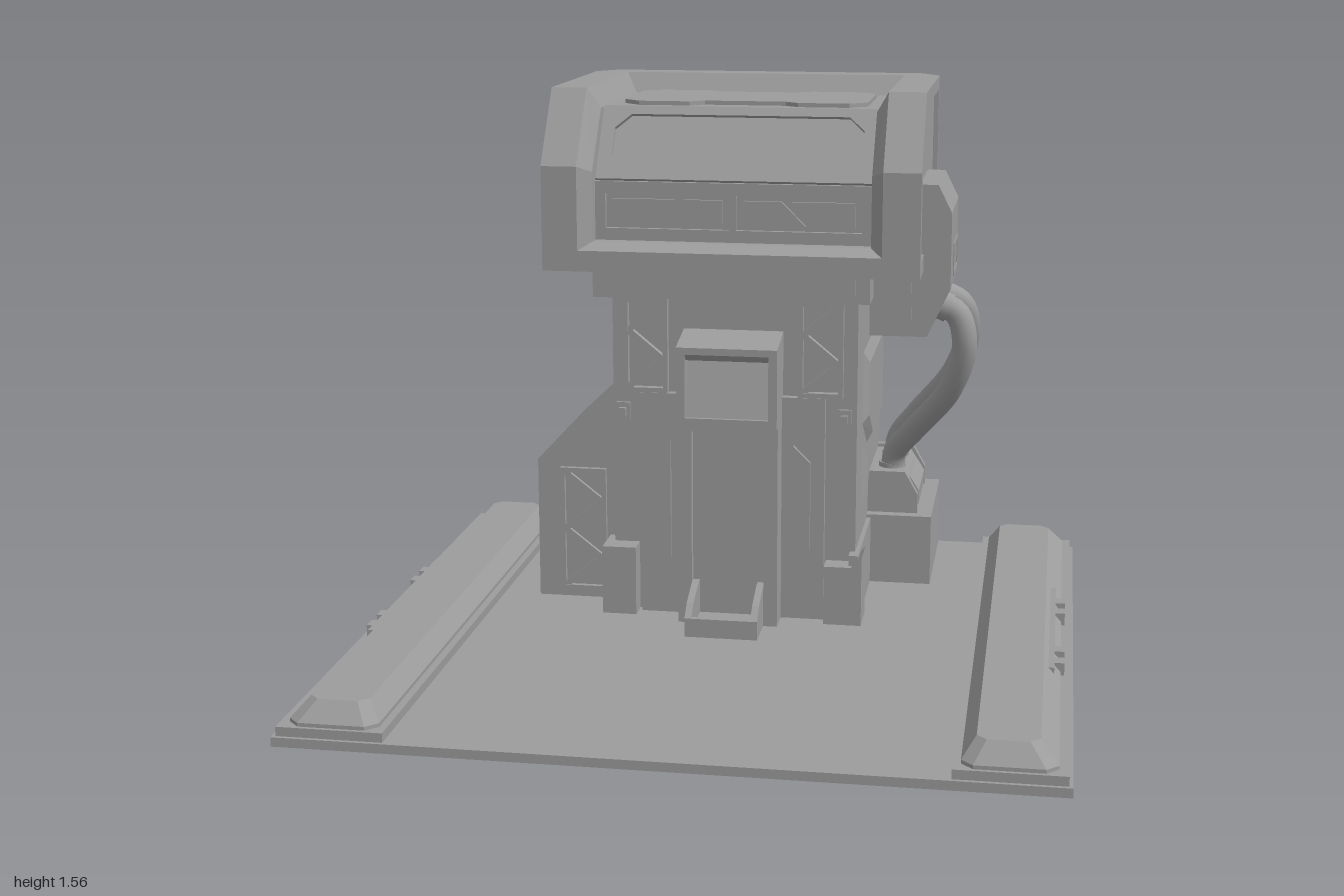
import * as THREE from 'three';
import { ConvexGeometry } from 'three/addons/geometries/ConvexGeometry.js';

export function createModel() {
  const root = new THREE.Group();
  const mat = new THREE.MeshStandardMaterial({ color: 0x9c9c9c, flatShading: true });
  const smooth = new THREE.MeshStandardMaterial({ color: 0x9c9c9c });

  // ---- helpers ----
  const add = (name, geo, material = mat, parent = root) => {
    const m = new THREE.Mesh(geo, material);
    m.name = name;
    parent.add(m);
    return m;
  };
  const box = (name, x0, x1, y0, y1, z0, z1) =>
    add(name, new THREE.BoxGeometry(x1 - x0, y1 - y0, z1 - z0)
      .translate((x0 + x1) / 2, (y0 + y1) / 2, (z0 + z1) / 2));
  const vecs = pts => pts.map(p => new THREE.Vector2(p[0], p[1]));
  // Outline extruded from a to b along an axis: 'z' takes (x,y), 'x' takes (z,y), 'y' takes (x,z)
  const prism = (name, axis, pts, a, b, hole, parent) => {
    const s = new THREE.Shape(vecs(pts));
    if (hole) s.holes.push(new THREE.Path(vecs(hole)));
    const g = new THREE.ExtrudeGeometry(s, { depth: b - a, bevelEnabled: false });
    if (axis === 'z') g.translate(0, 0, a);
    if (axis === 'x') g.rotateY(-Math.PI / 2).translate(b, 0, 0);
    if (axis === 'y') g.rotateX(Math.PI / 2).translate(0, b, 0);
    return add(name, g, mat, parent);
  };
  const hull = (name, pts) => add(name, new ConvexGeometry(pts.map(p => new THREE.Vector3(...p))));
  const rect = (x0, x1, y0, y1) => [[x0, y0], [x1, y0], [x1, y1], [x0, y1]];
  const octagon = (x0, x1, y0, y1, c) => [[x0 + c, y0], [x1 - c, y0], [x1, y0 + c], [x1, y1 - c],
    [x1 - c, y1], [x0 + c, y1], [x0, y1 - c], [x0, y0 + c]];
  const bar = (name, axis, p, q, w, a, b) => {
    const l = Math.hypot(q[0] - p[0], q[1] - p[1]);
    const nx = -(q[1] - p[1]) / l * w / 2, ny = (q[0] - p[0]) / l * w / 2;
    prism(name, axis, [[p[0] + nx, p[1] + ny], [q[0] + nx, q[1] + ny], [q[0] - nx, q[1] - ny], [p[0] - nx, p[1] - ny]], a, b);
  };
  // Framed panel with zigzag braces
  const lattice = (name, x0, x1, y0, y1, a, b, n) => {
    const t = 0.014;
    prism(name + 'Frame', 'z', rect(x0, x1, y0, y1), a, b, rect(x0 + t, x1 - t, y0 + t, y1 - t));
    for (let i = 0; i < n; i++) {
      const ya = y0 + t + (y1 - y0 - 2 * t) * i / n, yb = y0 + t + (y1 - y0 - 2 * t) * (i + 1) / n;
      const xa = i % 2 ? x1 - t : x0 + t, xb = i % 2 ? x0 + t : x1 - t;
      bar(name + 'Brace', 'z', [xa, ya], [xb, yb], 0.018, a, b - 0.003);
    }
  };

  // ---- ground slab and side rails ----
  box('groundSlab', -1, 1, 0, 0.025, -0.96, 0.99);
  for (const s of [-1, 1]) {
    const span = (name, xa, xb, ...r) => box(name, Math.min(s * xa, s * xb), Math.max(s * xa, s * xb), ...r);
    span('railBase', 0.71, 0.99, 0.025, 0.05, -0.95, 0.98);
    hull('railTop', [...octagon(0.73, 0.965, -0.94, 0.97, 0.03).map(p => [s * p[0], 0.05, p[1]]),
      ...octagon(0.73, 0.965, -0.94, 0.97, 0.03).map(p => [s * p[0], 0.06, p[1]]),
      ...octagon(0.765, 0.92, -0.9, 0.925, 0.025).map(p => [s * p[0], 0.11, p[1]])]);
    span('railStrip', 0.9, 0.948, 0.05, 0.096, -0.31, 0.37);
    for (const z of [0.28, 0.19, -0.13, -0.22]) span('railStud', 0.94, 0.975, 0.05, 0.085, z - 0.022, z + 0.022);
  }

  // ---- tower ----
  box('towerBody', -0.35, 0.365, 0.025, 1.0, -0.93, -0.145);
  box('neck', -0.4, 0.4, 0.97, 1.05, -0.95, -0.11);
  box('neckFrontPlate', -0.34, 0.36, 0.995, 1.05, -0.12, -0.095);
  for (const s of [-1, 1]) {
    const x = v => s * v + 0.005;
    const xs = (a, b) => [Math.min(x(a), x(b)), Math.max(x(a), x(b))];
    lattice('frontLattice', ...xs(0.19, 0.32), 0.69, 0.97, -0.15, -0.122, 3);
    box('frontPier', ...xs(0.13, 0.27), 0.025, 0.69, -0.15, -0.12);
    prism('pierPanel', 'z', [[x(0.18), 0.2], [x(0.23), 0.24], [x(0.23), 0.5], [x(0.18), 0.55]], -0.13, -0.108);
    box('clip', ...xs(0.305, 0.345), 0.6, 0.655, -0.2, -0.135);
    box('clipPin', ...xs(0.315, 0.335), 0.615, 0.64, -0.14, -0.122);
  }
  prism('leftFoot', 'z', [[0.28, 0.025], [0.39, 0.025], [0.39, 0.23], [0.36, 0.2], [0.28, 0.2]], -0.2, -0.08);
  box('rightFoot', -0.375, -0.275, 0.025, 0.23, -0.2, -0.08);
  box('sideSkirt', 0.35, 0.378, 0.025, 0.23, -0.52, -0.1);

  // ---- front console with screen and tray ----
  prism('consoleColumn', 'z', rect(-0.14, 0.15, 0.025, 0.63), -0.15, -0.035, rect(-0.1, 0.11, 0.03, 0.6));
  box('columnRecess', -0.11, 0.12, 0.03, 0.62, -0.15, -0.06);
  const cheek = [[-0.15, 0.62], [-0.01, 0.62], [-0.01, 0.85], [-0.15, 0.88]];
  prism('consoleCheek', 'x', cheek, -0.14, -0.115);
  prism('consoleCheek', 'x', cheek, 0.125, 0.15);
  prism('consoleScreen', 'x', [[-0.15, 0.64], [-0.02, 0.64], [-0.075, 0.82], [-0.15, 0.82]], -0.12, 0.13);
  box('consoleSill', -0.14, 0.15, 0.62, 0.645, -0.15, -0.01);
  prism('consoleHood', 'x', [[-0.15, 0.82], [-0.03, 0.81], [-0.01, 0.83], [-0.01, 0.85], [-0.15, 0.88]], -0.14, 0.15);
  const trayWall = [[-0.06, 0.025], [0.09, 0.025], [0.09, 0.08], [0.05, 0.115], [-0.04, 0.15], [-0.06, 0.15]];
  prism('trayWall', 'x', trayWall, -0.1, -0.08);
  prism('trayWall', 'x', trayWall, 0.09, 0.11);
  prism('trayFloor', 'x', [[-0.06, 0.025], [0.09, 0.025], [0.09, 0.08], [0.075, 0.08], [0.065, 0.05], [-0.06, 0.05]], -0.085, 0.095);

  // ---- tower sides and back plating, with bevelled edges ----
  const sideRaised = (name, low, high) => hull(name, [...low.map(p => [0.364, p[1], p[0]]), ...high.map(p => [0.382, p[1], p[0]])]);
  sideRaised('sidePlate', [[-0.32, 0.79], [-0.88, 0.79], [-0.88, 0.475], [-0.47, 0.475], [-0.32, 0.57]],
    [[-0.36, 0.75], [-0.83, 0.75], [-0.83, 0.51], [-0.48, 0.51], [-0.36, 0.59]]);
  sideRaised('sideTriangle', [[-0.3, 0.33], [-0.47, 0.425], [-0.3, 0.52]], [[-0.325, 0.375], [-0.41, 0.425], [-0.325, 0.475]]);
  const backOutline = d => [[-0.25 + d, 0.47 + d], [0.25 - d, 0.47 + d], [0.25 - d, 0.79 - d / 2], [0.19 - d / 2, 0.86 - d],
    [-0.19 + d / 2, 0.86 - d], [-0.25 + d, 0.79 - d / 2]];
  hull('backPanel', [...backOutline(0).map(p => [...p, -0.925]), ...backOutline(0.018).map(p => [...p, -0.95])]);
  prism('backLowerPlate', 'z', [[0.23, 0.06], [0.08, 0.06], [0.08, 0.25], [0.14, 0.32], [0.14, 0.44], [0.23, 0.44]], -0.945, -0.92);
  prism('backMiddlePlate', 'z', [[0.06, 0.06], [-0.26, 0.06], [-0.26, 0.235], [-0.07, 0.235], [-0.07, 0.44], [0.12, 0.44], [0.12, 0.33], [0.06, 0.26]], -0.945, -0.92);
  prism('backHatch', 'z', rect(-0.27, -0.09, 0.26, 0.44), -0.95, -0.92, rect(-0.25, -0.11, 0.28, 0.42));

  // ---- sloped side cabinet ----
  prism('sideCabinet', 'z', [[-0.34, 0.025], [-0.6, 0.025], [-0.6, 0.45], [-0.34, 0.7]], -0.84, -0.22);
  lattice('cabinetLattice', -0.53, -0.39, 0.05, 0.43, -0.23, -0.205, 4);
  lattice('cabinetBackLattice', -0.53, -0.39, 0.05, 0.43, -0.855, -0.83, 4);
  prism('cabinetVentFrame', 'x', octagon(-0.77, -0.27, 0.07, 0.42, 0.03), -0.612, -0.59, octagon(-0.74, -0.3, 0.1, 0.39, 0.03));
  for (const z of [-0.66, -0.57, -0.48]) bar('cabinetVentSlat', 'x', [z - 0.05, 0.14], [z + 0.12, 0.35], 0.035, -0.61, -0.59);

  // ---- hose base block ----
  box('hoseBlock', 0.35, 0.563, 0.025, 0.24, -0.94, -0.5);
  const hoseProfile = [[0.35, 0.24], [0.51, 0.24], [0.51, 0.3], [0.47, 0.36], [0.35, 0.36]];
  prism('hoseBox', 'z', hoseProfile, -0.88, -0.56);
  const plateProfile = hoseProfile.map(p => [p[0] + (p[0] > 0.4 ? 0.008 : 0), p[1] > 0.35 ? 0.37 : p[1]]);
  for (const z of [-0.9, -0.56]) prism('hoseBoxEnd', 'z', plateProfile, z, z + 0.025);
  hull('hoseBoxPanel', [-0.84, -0.59].flatMap(z => [[0.5, 0.255, z], [0.518, 0.255, z], [0.518, 0.298, z], [0.492, 0.34, z], [0.47, 0.34, z]]));

  // ---- side control box on the head ----
  prism('controlBox', 'z', [[0.39, 0.86], [0.555, 0.86], [0.62, 1.0], [0.62, 1.22], [0.58, 1.3], [0.39, 1.3]], -0.57, -0.22);
  prism('controlFrame', 'x', rect(-0.53, -0.335, 1.02, 1.115), 0.61, 0.623, rect(-0.52, -0.345, 1.03, 1.105));
  box('controlFrontPlate', 0.41, 0.51, 0.885, 1.04, -0.23, -0.21);

  // ---- hoses ----
  const hoses = [[[0.56, 0.945, -0.32], [0.635, 0.915, -0.315], [0.66, 0.82, -0.32], [0.62, 0.68, -0.375], [0.5, 0.5, -0.555], [0.44, 0.41, -0.635], [0.43, 0.34, -0.65]],
    [[0.56, 0.945, -0.475], [0.635, 0.92, -0.48], [0.66, 0.83, -0.525], [0.62, 0.68, -0.625], [0.5, 0.51, -0.74], [0.44, 0.42, -0.78], [0.43, 0.34, -0.785]]];
  for (const h of hoses) {
    const curve = new THREE.CatmullRomCurve3(h.map(p => new THREE.Vector3(...p)));
    add('hose', new THREE.TubeGeometry(curve, 48, 0.037, 14), smooth);
    const [top, end] = [h[0], h[h.length - 1]];
    const collar = add('hoseCollar', new THREE.CylinderGeometry(0.043, 0.043, 0.04, 16), smooth);
    collar.position.set(top[0] + 0.035, top[1] - 0.01, top[2]);
    collar.rotation.z = -Math.PI / 2 - 0.4;
    add('hoseCollar', new THREE.CylinderGeometry(0.042, 0.042, 0.03, 16), smooth).position.set(end[0], 0.36, end[2]);
  }

  // ---- head: cheeks with bevelled inner edges and recessed outer panels ----
  const outer = [[-0.07, 1.05], [-0.07, 1.35], [-0.22, 1.56], [-0.82, 1.56], [-0.82, 1.05]];
  const inner = [[-0.12, 1.05], [-0.12, 1.33], [-0.25, 1.5], [-0.82, 1.5], [-0.82, 1.05]];
  const panel = [[-0.11, 1.1], [-0.11, 1.335], [-0.24, 1.52], [-0.8, 1.52], [-0.8, 1.1]];
  for (const s of [-1, 1]) {
    hull('headCheek', [...outer.flatMap(p => [[s * 0.527, p[1], p[0]], [s * 0.435, p[1], p[0]]]),
      ...inner.map(p => [s * 0.4, p[1], p[0]])]);
    const [a, b] = s > 0 ? [0.525, 0.542] : [-0.538, -0.525];
    prism('cheekFrame', 'x', outer, a, b, panel);
  }
  // Back of the head with chamfered corners and a flared skirt
  const plan = (y, back, side, cx) => [-1, 1].flatMap(s =>
    [[s * 0.54, y, -0.81], [s * 0.54, y, side], [s * cx, y, back]]);
  hull('headBack', [...plan(1.27, -0.9, -0.82, 0.48), ...plan(1.56, -0.9, -0.82, 0.48)]);
  hull('headBackSkirt', [...plan(1.05, -0.99, -0.93, 0.475), ...plan(1.21, -0.99, -0.93, 0.475), ...plan(1.28, -0.9, -0.83, 0.48)]);

  // Deck, lip and rear bevel between the cheeks
  prism('headDeck', 'x', [[-0.17, 1.05], [-0.17, 1.3], [-0.31, 1.5], [-0.83, 1.5], [-0.83, 1.05]], -0.42, 0.42);
  prism('headLip', 'x', [[-0.07, 1.05], [-0.07, 1.11], [-0.12, 1.13], [-0.18, 1.13], [-0.18, 1.05]], -0.45, 0.45);
  prism('deckRearBevel', 'x', [[-0.81, 1.56], [-0.77, 1.5], [-0.83, 1.49], [-0.83, 1.56]], -0.44, 0.44);
  const deckOutline = (w, za, zb) => [[-w + 0.05, za], [-0.16, za], [-0.12, za + 0.035], [0.12, za + 0.035], [0.16, za], [w - 0.05, za],
    [w, za + 0.05], [w, zb - 0.05], [w - 0.05, zb], [0.16, zb], [0.12, zb - 0.035], [-0.12, zb - 0.035], [-0.16, zb], [-w + 0.05, zb], [-w, zb - 0.05], [-w, za + 0.05]];
  prism('deckHatch', 'y', deckOutline(0.36, -0.74, -0.36), 1.49, 1.512);

  // Sloped window and lower twin displays
  const windowGroup = new THREE.Group();
  windowGroup.name = 'windowGroup';
  windowGroup.position.set(0, 1.4, -0.24);
  windowGroup.rotation.x = -Math.atan2(0.14, 0.2);
  root.add(windowGroup);
  prism('windowFrame', 'z', rect(-0.4, 0.4, -0.122, 0.118), -0.01, 0.012, octagon(-0.36, 0.365, -0.09, 0.09, 0.045), windowGroup);
  prism('displayFrame', 'z', rect(-0.4, 0.4, 1.12, 1.3), -0.175, -0.155, rect(-0.37, 0.37, 1.165, 1.265));
  box('displayDivider', -0.01, 0.01, 1.16, 1.27, -0.175, -0.155);
  for (const s of [-1, 1]) {
    prism('displayWedge', 'z', [[s * 0.35, 1.18], [s * 0.24, 1.18], [s * 0.17, 1.25], [s * 0.35, 1.25]], -0.175, -0.16);
    prism('displayWedge', 'z', [[s * 0.21, 1.18], [s * 0.03, 1.18], [s * 0.03, 1.25], [s * 0.14, 1.25]], -0.175, -0.16);
  }
  return root;
}
